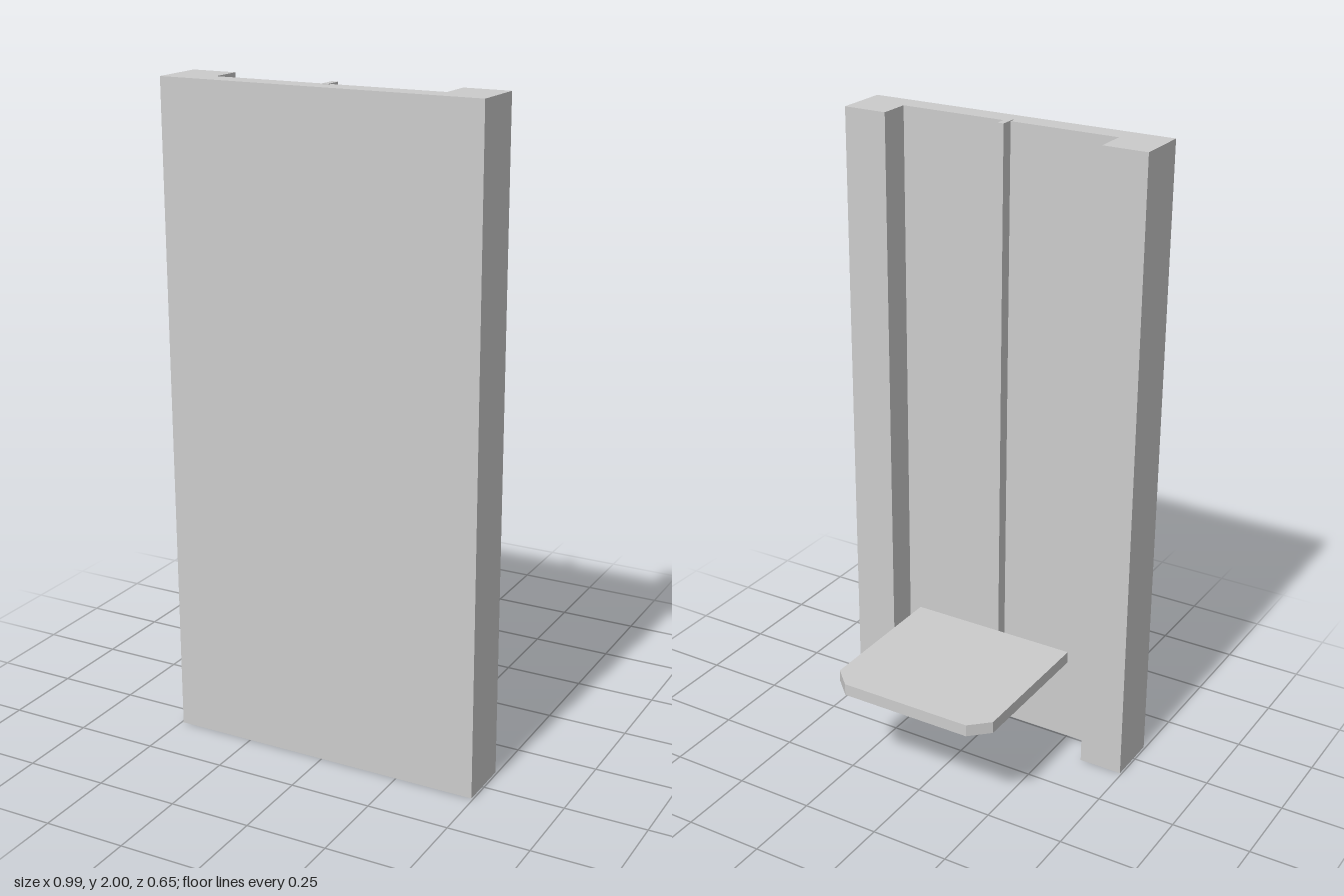
import * as THREE from 'three';

const material = new THREE.MeshStandardMaterial({ color: 0xcccccc, flatShading: true });

function add(parent, name, geometry, x = 0, y = 0, z = 0) {
  const mesh = new THREE.Mesh(geometry, material);
  mesh.name = name;
  mesh.position.set(x, y, z);
  parent.add(mesh);
  return mesh;
}

const shapeFrom = (points) => new THREE.Shape(points.map(([x, y]) => new THREE.Vector2(x, y)));
const extrude = (points, depth) =>
  new THREE.ExtrudeGeometry(shapeFrom(points), { depth, bevelEnabled: false });

export function createModel() {
  const model = new THREE.Group();
  model.name = 'wallLift';

  // Upright channel: a panel with a post along each side, drawn in plan (x, -z)
  const channel = extrude([
    [-0.494, -0.325], [0.494, -0.325], [0.494, -0.155], [0.354, -0.155],
    [0.354, -0.255], [-0.354, -0.255], [-0.354, -0.155], [-0.494, -0.155],
  ], 1.998);
  channel.rotateX(-Math.PI / 2);
  add(model, 'wallChannel', channel);

  // Thin guide rail up the middle of the panel
  add(model, 'guideRail', new THREE.BoxGeometry(0.02, 2, 0.055), 0, 1, 0.2425);

  // Platform with its two outer corners cut off
  const platform = extrude([
    [-0.275, -0.195], [0.275, -0.195], [0.275, 0.268], [0.216, 0.325],
    [-0.216, 0.325], [-0.275, 0.268],
  ], 0.038);
  platform.rotateX(-Math.PI / 2);
  add(model, 'platform', platform, 0, 0.317, 0);

  // Drive drum: recessed ends and a groove that runs on the rail
  const drum = new THREE.LatheGeometry([
    [0, -0.09], [0.05, -0.09], [0.05, -0.107], [0.078, -0.107],
    [0.078, -0.011], [0.066, -0.011], [0.066, 0.011], [0.078, 0.011],
    [0.078, 0.107], [0.05, 0.107], [0.05, 0.09], [0, 0.09],
  ].map(([r, y]) => new THREE.Vector2(r, y)), 16);
  drum.rotateZ(Math.PI / 2);
  add(model, 'driveDrum', drum, 0, 0.205, 0.144);

  // Slanted arm from the drum up to the platform, drawn from the side (-z, y)
  const arm = extrude([
    [-0.125, 0.245], [-0.085, 0.225], [0.003, 0.32], [-0.06, 0.32],
  ].map(([x, y]) => [x, y]), 0.07);
  arm.rotateY(Math.PI / 2);
  add(model, 'supportArm', arm, -0.035, 0, 0);

  return model;
}
